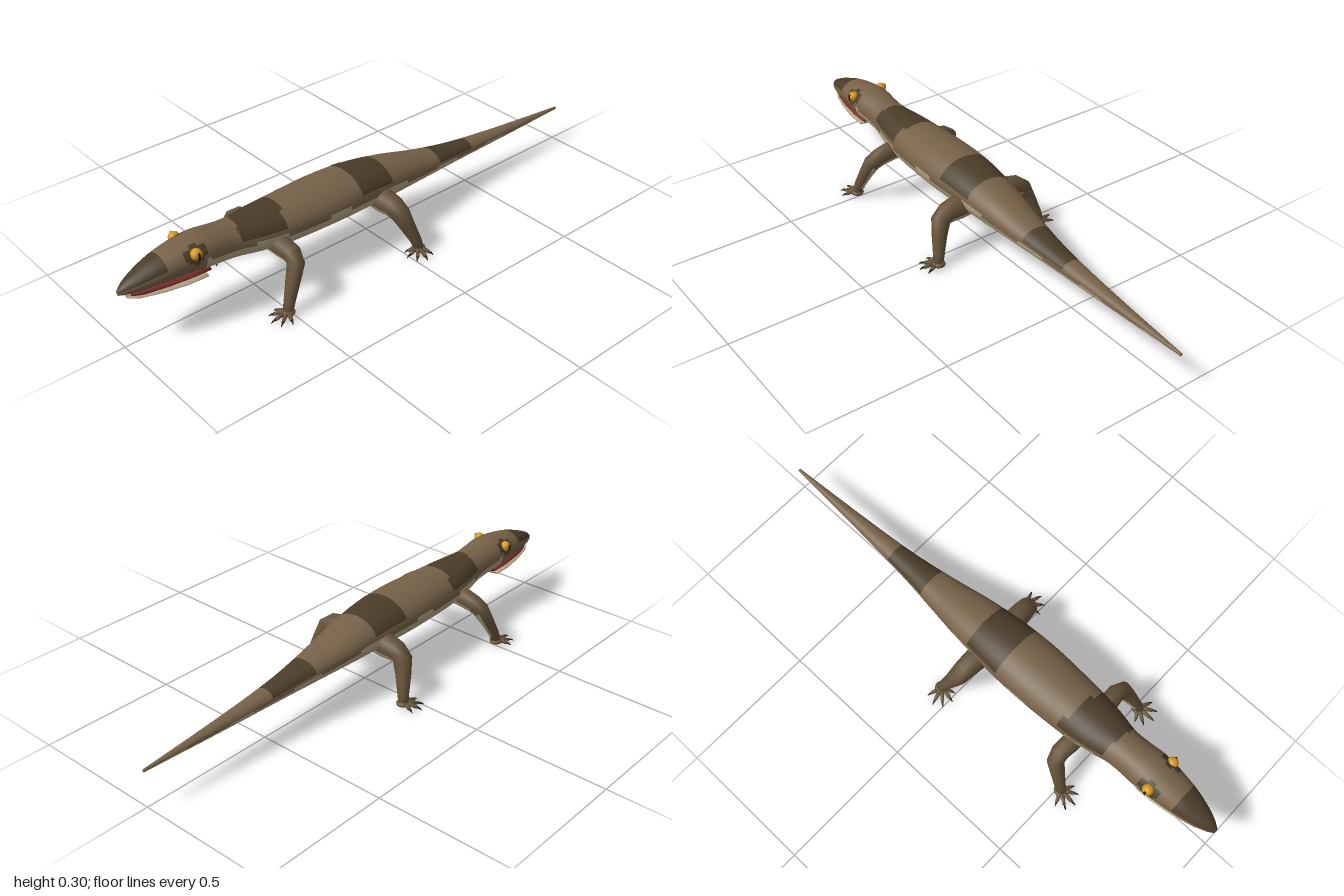
import * as THREE from 'three';

const V = (x, y, z) => new THREE.Vector3(x, y, z);
const mat = (name, color) => {
  const m = new THREE.MeshStandardMaterial({ color });
  m.name = name;
  return m;
};

// Skin a list of rings; pick(centre, normal, j) returns a material index per quad
function loft(name, rings, materials, pick = () => 0) {
  const n = rings[0].length, pos = [], buckets = materials.map(() => []);
  rings.forEach(r => r.forEach(p => pos.push(p.x, p.y, p.z)));
  const last = rings.length - 1;
  for (let i = 0; i < last; i++) for (let j = 0; j < n; j++) {
    const k = (j + 1) % n;
    const a = rings[i][j], b = rings[i][k], c = rings[i + 1][j], d = rings[i + 1][k];
    const centre = a.clone().add(b).add(c).add(d).multiplyScalar(0.25);
    const normal = d.clone().sub(a).cross(c.clone().sub(b)).normalize();
    const A = i * n + j, B = i * n + k, C = A + n, D = B + n;
    buckets[pick(centre, normal, j)].push(A, B, C, B, D, C);
  }
  // End caps
  [0, last].forEach(i => {
    const c = rings[i].reduce((s, p) => s.add(p), V(0, 0, 0)).divideScalar(n);
    const base = pos.length / 3;
    pos.push(c.x, c.y, c.z);
    for (let j = 0; j < n; j++) {
      const A = i * n + j, B = i * n + (j + 1) % n;
      buckets[0].push(base, i ? A : B, i ? B : A);
    }
  });
  const g = new THREE.BufferGeometry();
  g.setAttribute('position', new THREE.Float32BufferAttribute(pos, 3));
  g.setIndex(buckets.flat());
  let start = 0;
  buckets.forEach((b, i) => { if (b.length) g.addGroup(start, b.length, i); start += b.length; });
  g.computeVertexNormals();
  const mesh = new THREE.Mesh(g, materials);
  mesh.name = name;
  return mesh;
}

// Oval ring across the body
function bodyRing(z, w, top, bottom, sides) {
  const mid = (top + bottom) / 2, h = (top - bottom) / 2;
  return Array.from({ length: sides }, (_, j) => {
    const p = (j + 0.5) / sides * Math.PI * 2;
    return V(w * Math.sin(p), mid + h * Math.cos(p), z);
  });
}

// Tapered tube through points [x, y, z, radius, radius along z]
function limb(name, pts, sides, materials, pick) {
  const P = pts.map(p => V(p[0], p[1], p[2]));
  const rings = pts.map((p, i) => {
    const t = P[Math.min(i + 1, P.length - 1)].clone().sub(P[Math.max(i - 1, 0)]).normalize();
    const ref = Math.abs(t.z) > 0.8 ? V(0, 1, 0) : V(0, 0, 1);
    const v = ref.addScaledVector(t, -ref.dot(t)).normalize();
    const u = t.clone().cross(v);
    return Array.from({ length: sides }, (_, j) => {
      const a = (j + 0.5) / sides * Math.PI * 2;
      return P[i].clone().addScaledVector(u, Math.sin(a) * p[3]).addScaledVector(v, Math.cos(a) * (p[4] ?? p[3]));
    });
  });
  return loft(name, rings, materials, pick);
}

export function createModel() {
  const root = new THREE.Group();
  root.name = 'lizard';
  const brown = mat('brown skin', 0x766148), dark = mat('dark bands', 0x4a3c28);
  const pale = mat('pale belly', 0xb0a381), limbSkin = mat('limb brown', 0x655239);
  const claw = mat('dark claws', 0x2c2319), amber = mat('amber eye', 0xd8961f);
  const black = mat('black pupil', 0x14110d), red = mat('red mouth', 0x7c2b2e);
  const pink = mat('tongue', 0xb98a78);

  // Head, trunk and tail: z, half width, top, bottom
  const knots = [
    [1, 0.008, 0.222, 0.204], [0.975, 0.024, 0.24, 0.2], [0.93, 0.042, 0.26, 0.197],
    [0.86, 0.059, 0.284, 0.194], [0.78, 0.07, 0.3, 0.19], [0.71, 0.075, 0.306, 0.18],
    [0.64, 0.071, 0.298, 0.172], [0.58, 0.073, 0.291, 0.165], [0.5, 0.09, 0.29, 0.153],
    [0.4, 0.102, 0.292, 0.14], [0.2, 0.112, 0.295, 0.136], [0.05, 0.106, 0.288, 0.134],
    [-0.1, 0.091, 0.262, 0.131], [-0.25, 0.069, 0.225, 0.129], [-0.4, 0.049, 0.197, 0.127],
    [-0.55, 0.035, 0.179, 0.126], [-0.75, 0.021, 0.161, 0.127], [-1, 0.005, 0.142, 0.132],
  ];
  const plan = new THREE.CatmullRomCurve3(knots.map(k => V(k[0], k[1], 0)), false, 'catmullrom');
  const side = new THREE.CatmullRomCurve3(knots.map(k => V(k[2], k[3], 0)), false, 'catmullrom');
  const steps = (knots.length - 1) * 8, sides = 32;
  const rings = Array.from({ length: steps + 1 }, (_, i) => {
    const a = plan.getPoint(i / steps), b = side.getPoint(i / steps);
    return bodyRing(a.x, a.y, b.x, b.y, sides);
  });
  // Saddle bands: centre, half length, reach down the flank in degrees, slant
  const bands = [[0.485, 0.085, 72, 0.18], [0.035, 0.077, 78, 0], [-0.395, 0.087, 76, 0], [0.95, 0.1, 68, 0]];
  root.add(loft('body', rings, [brown, dark, pale], (c, n, j) => {
    const p = (j + 1) / sides * 360, down = Math.min(p, 360 - p);
    const flank = c.z > 0.72 ? 128 : 92 + 6 * Math.sin(c.z * 23);
    if (down > flank) return 2;
    if (Math.hypot((c.z - 0.75) / 0.04, (Math.abs(c.x) - 0.06) / 0.026, (c.y - 0.275) / 0.035) < 1) return 1;
    return bands.some(([z, half, reach, slant]) =>
      down < reach && Math.abs(c.z - z - slant * c.x) < half) ? 1 : 0;
  }));

  // Open mouth
  const jaw = [[0.972, 0.012, 0.19, 0.182], [0.94, 0.03, 0.188, 0.175], [0.86, 0.05, 0.184, 0.169],
    [0.78, 0.061, 0.181, 0.165], [0.71, 0.064, 0.18, 0.165]];
  root.add(loft('lowerJaw', jaw.map(k => bodyRing(...k, 16)), [pale]));
  root.add(loft('mouthLining', jaw.map(([z, w]) => bodyRing(z - 0.012, w * 0.95, 0.206, 0.177, 16)), [red]));
  const tongue = new THREE.Mesh(new THREE.SphereGeometry(1, 12, 8), pink);
  tongue.name = 'tongue';
  tongue.scale.set(0.014, 0.006, 0.04);
  tongue.position.set(0, 0.19, 0.935);
  root.add(tongue);

  for (const s of [1, -1]) {
    const label = s > 0 ? 'left' : 'right';

    // Eye with an upright slit
    const eye = new THREE.Group();
    eye.name = label + 'Eye';
    eye.position.set(s * 0.062, 0.274, 0.75);
    const ball = new THREE.Mesh(new THREE.SphereGeometry(0.02, 16, 12), amber);
    ball.name = 'eyeball';
    const slit = new THREE.Mesh(new THREE.SphereGeometry(1, 12, 8), black);
    slit.name = 'pupil';
    slit.scale.set(0.006, 0.014, 0.005);
    slit.position.x = s * 0.0165;
    eye.add(ball, slit);
    root.add(eye);

    // Legs: path from body to ankle, then a foot heading outwards by an angle
    const legs = [
      ['FrontLeg', [[0.05, 0.185, 0.45, 0.036, 0.034], [0.1, 0.183, 0.447, 0.037, 0.034], [0.145, 0.177, 0.443, 0.034, 0.032],
        [0.173, 0.158, 0.45, 0.032, 0.03], [0.186, 0.11, 0.474, 0.026, 0.025],
        [0.202, 0.045, 0.504, 0.019, 0.02], [0.206, 0.016, 0.515, 0.017, 0.018]], 0.05],
      ['HindLeg', [[0.05, 0.175, 0.005, 0.044, 0.042], [0.1, 0.172, 0.003, 0.045, 0.042], [0.148, 0.168, 0, 0.039, 0.038],
        [0.178, 0.15, -0.004, 0.034, 0.035], [0.195, 0.105, -0.02, 0.028, 0.027],
        [0.215, 0.045, -0.043, 0.021, 0.02], [0.222, 0.016, -0.05, 0.018, 0.018]], 0.75],
    ];
    for (const [part, path, heading] of legs) {
      const leg = new THREE.Group();
      leg.name = label + part;
      const pts = path.map(([x, ...rest]) => [s * x, ...rest]);
      leg.add(limb('limb', pts, 12, [limbSkin, pale],
        (c, n) => c.y > 0.05 && (n.y < -0.45 || n.x * s < -0.75) ? 1 : 0));

      // Foot pad, five toes and claws
      const [ax, , az] = path[path.length - 1];
      const pad = new THREE.Mesh(new THREE.SphereGeometry(1, 12, 8), limbSkin);
      pad.name = 'footPad';
      pad.scale.set(0.025, 0.012, 0.026);
      pad.position.set(s * ax, 0.013, az);
      leg.add(pad);
      [-1.15, -0.6, 0, 0.55, 1.15].forEach((fan, i) => {
        const a = heading + fan, reach = [0.052, 0.064, 0.072, 0.07, 0.058][i];
        const at = (f, y, r) => [s * (ax + Math.sin(a) * reach * f), y, az + Math.cos(a) * reach * f, r];
        leg.add(limb('toe', [at(0.15, 0.013, 0.008), at(0.45, 0.014, 0.0075), at(0.72, 0.009, 0.006)], 6, [limbSkin]));
        leg.add(limb('claw', [at(0.68, 0.01, 0.005), at(0.85, 0.009, 0.0035), at(1, 0.003, 0.0008)], 6, [claw]));
      });
      root.add(leg);
    }
  }
  return root;
}
